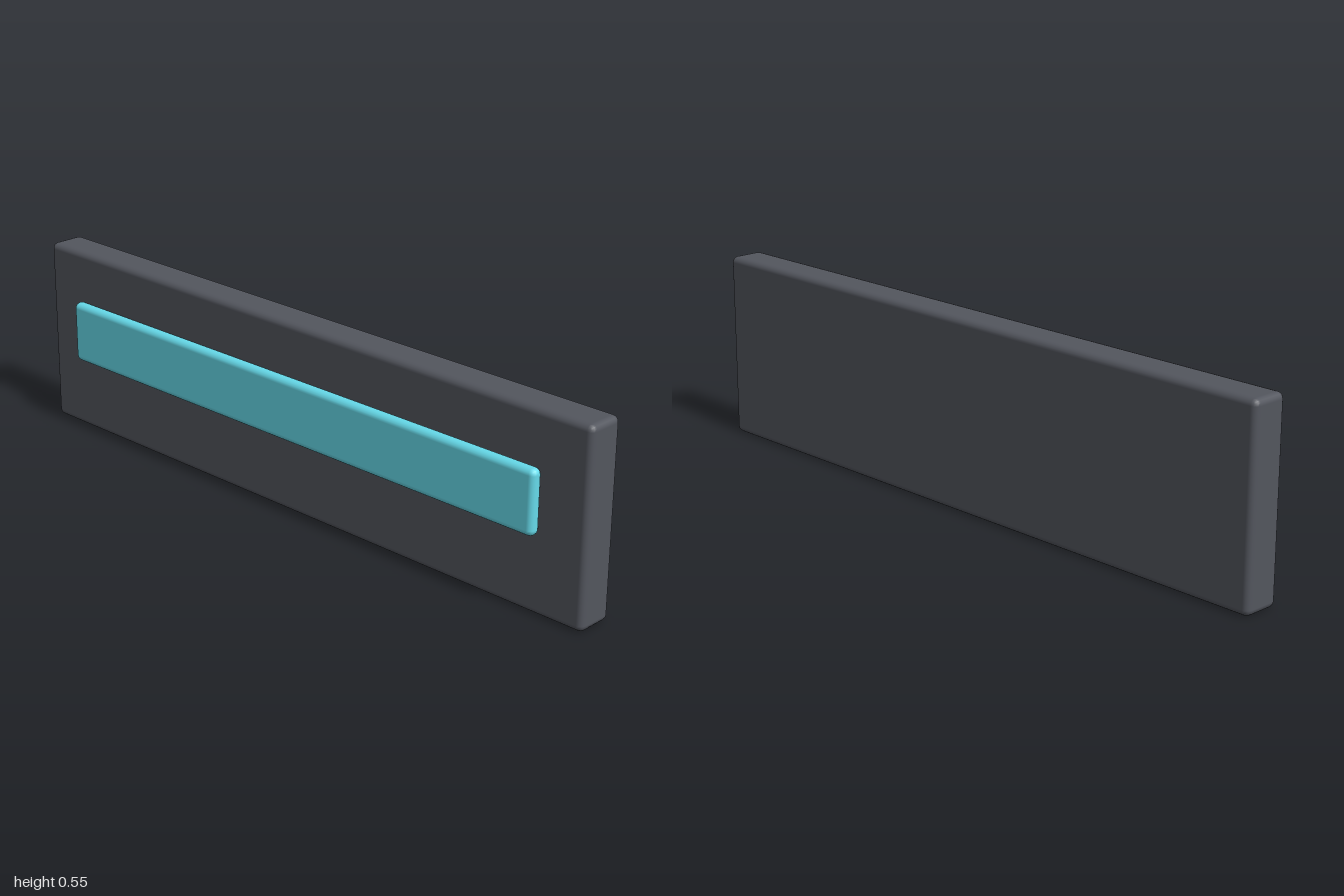
import * as THREE from 'three';
import { RoundedBoxGeometry } from 'three/addons/geometries/RoundedBoxGeometry.js';

// Rounded slab centred on x, at height y and depth z
function slab(name, [w, h, d], radius, color, y, z) {
  const mesh = new THREE.Mesh(
    new RoundedBoxGeometry(w, h, d, 2, radius),
    new THREE.MeshStandardMaterial({ color })
  );
  mesh.name = name;
  mesh.position.set(0, y, z);
  return mesh;
}

export function createModel() {
  const group = new THREE.Group();
  group.name = 'panel';

  // Dark backing panel
  group.add(slab('backPanel', [2, 0.545, 0.109], 0.018, 0x53565e, 0.2725, -0.018));

  // Light strip resting on the front face, with fully rounded edges
  group.add(slab('lightStrip', [1.724, 0.18, 0.036], 0.0178, 0x67dcec, 0.311, 0.0547));

  return group;
}
